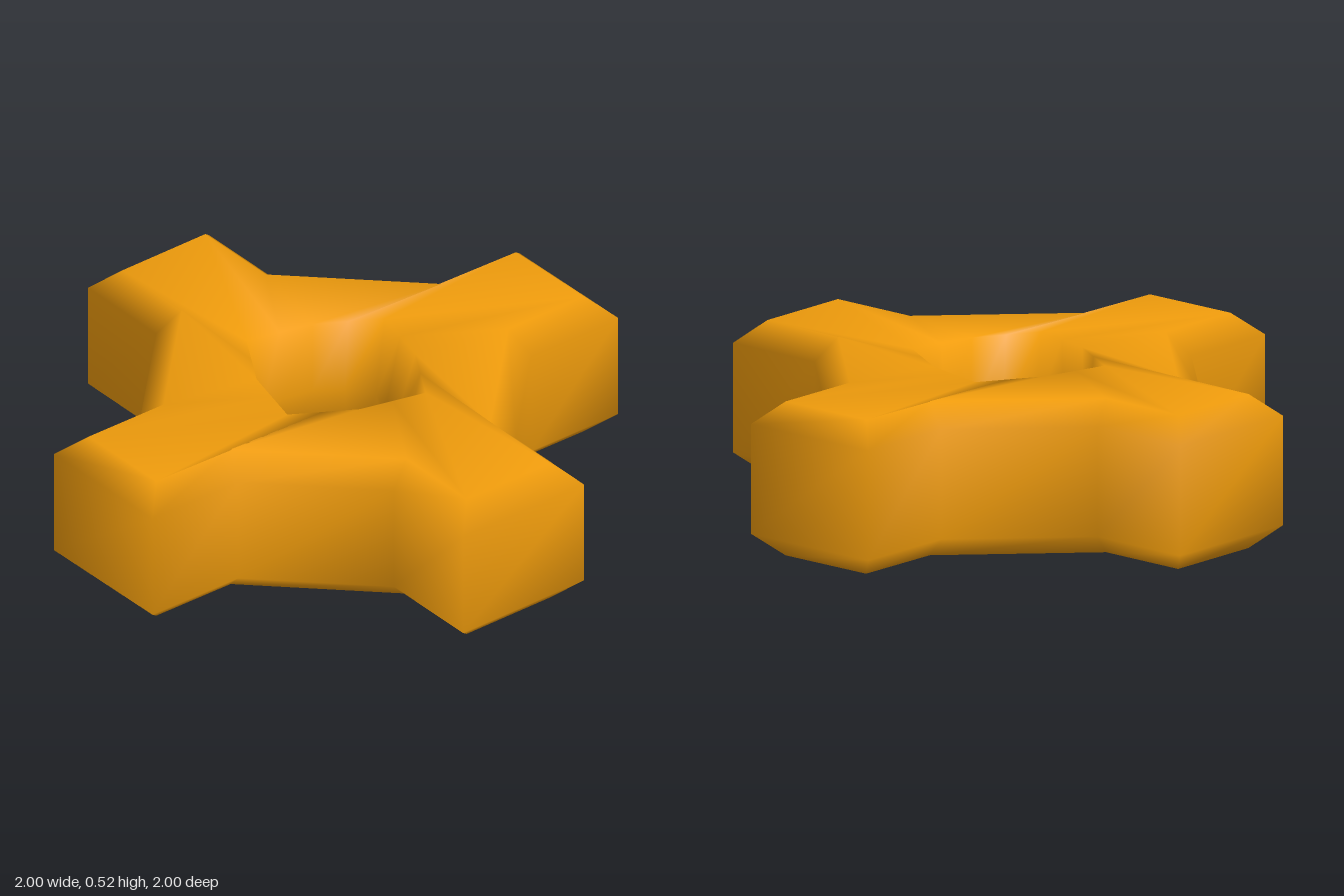
import * as THREE from 'three';

const HEIGHT = 0.52, BEVEL_Y = 0.075, INSET = 0.08;

// One quarter of the four-armed outline as [x, z]: valley, two arm corners, valley
const QUARTER = [[0, 0.665], [0.137, 1], [0.606, 0.803], [0.472, 0.472]];

// Four turned copies, counter-clockwise seen from above
function outline() {
  const pts = [];
  for (let k = 0; k < 4; k++) {
    const c = Math.round(Math.cos(k * Math.PI / 2)), s = Math.round(Math.sin(k * Math.PI / 2));
    for (const [x, z] of QUARTER) pts.push([x * c + z * s, z * c - x * s]);
  }
  return pts;
}

// Mitred inward offset of a closed outline
function inset(pts, d) {
  const normal = (a, b) => {
    const ex = b[0] - a[0], ez = b[1] - a[1], l = Math.hypot(ex, ez);
    return [ez / l, -ex / l];
  };
  return pts.map((p, i) => {
    const n = normal(pts.at(i - 1), p), m = normal(p, pts[(i + 1) % pts.length]);
    const f = d / (1 + n[0] * m[0] + n[1] * m[1]);
    return [p[0] + (n[0] + m[0]) * f, p[1] + (n[1] + m[1]) * f];
  });
}

// Skin closed rings of [x, z] at heights y; the last ring joins the first
function skinRings(rings) {
  const n = rings[0].pts.length, pos = [], index = [];
  for (const { y, pts } of rings) for (const [x, z] of pts) pos.push(x, y, z);
  for (let i = 0; i < rings.length; i++) {
    const a = i * n, b = ((i + 1) % rings.length) * n;
    for (let j = 0; j < n; j++) {
      const k = (j + 1) % n;
      index.push(a + j, a + k, b + k, a + j, b + k, b + j);
    }
  }
  const g = new THREE.BufferGeometry();
  g.setAttribute('position', new THREE.Float32BufferAttribute(pos, 3));
  g.setIndex(index);
  g.computeVertexNormals();
  return g;
}

export function createModel() {
  const group = new THREE.Group();
  group.name = 'fourArmedHub';

  const outer = outline();
  const flat = inset(outer, INSET);

  // Central hole: squarish rims, round waist with one flat side
  const rim = [], waist = [];
  for (let j = 0; j < 16; j++) {
    const t = j * Math.PI / 8;
    const u = (j % 4) / 4, q = Math.floor(j / 4) * Math.PI / 2;
    const x = 0.235 * Math.min(1, 2 * u), z = u <= 0.5 ? 0.27 - 0.07 * u : 0.235;
    const [px, pz] = u <= 0.5 ? [x, z] : [0.27 - 0.07 * (1 - u), 0.47 * (1 - u)];
    rim.push([px * Math.cos(q) + pz * Math.sin(q), pz * Math.cos(q) - px * Math.sin(q)]);
    waist.push([Math.min(0.2, 0.275 * Math.sin(t)), 0.275 * Math.cos(t)]);
  }

  const body = new THREE.Mesh(
    skinRings([
      { y: 0, pts: flat },
      { y: BEVEL_Y, pts: outer },
      { y: HEIGHT - BEVEL_Y, pts: outer },
      { y: HEIGHT, pts: flat },
      { y: HEIGHT, pts: rim },
      { y: HEIGHT / 2, pts: waist },
      { y: 0, pts: rim },
    ]),
    new THREE.MeshStandardMaterial({ color: 0xf09c0c })
  );
  body.name = 'bevelledCrossBody';
  group.add(body);
  return group;
}
